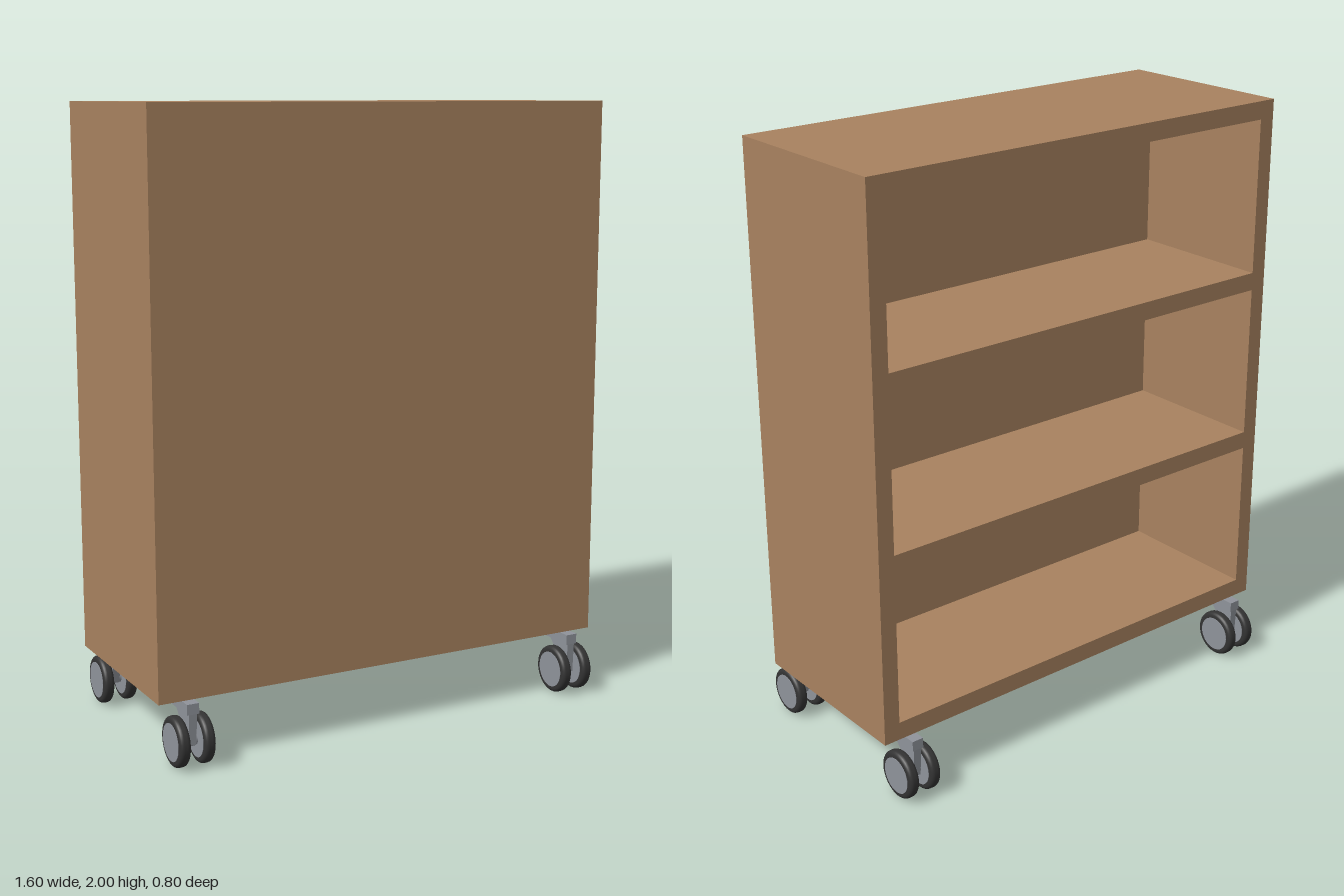
import * as THREE from 'three';

const wood = new THREE.MeshStandardMaterial({ color: 0xa8825f });
wood.name = 'wood';
const rubber = new THREE.MeshStandardMaterial({ color: 0x333333 });
rubber.name = 'rubber';
const metal = new THREE.MeshStandardMaterial({ color: 0x8f939a });
metal.name = 'metal';

function add(parent, name, geometry, material, x = 0, y = 0, z = 0) {
  const mesh = new THREE.Mesh(geometry, material);
  mesh.name = name;
  mesh.position.set(x, y, z);
  parent.add(mesh);
  return mesh;
}

function rectangle(path, x0, y0, x1, y1) {
  path.moveTo(x0, y0);
  path.lineTo(x1, y0);
  path.lineTo(x1, y1);
  path.lineTo(x0, y1);
  path.closePath();
  return path;
}

// Tyre with rounded shoulders, axis along x
function tyreGeometry() {
  const w = 0.018, r = 0.08, b = 0.013;
  const points = [new THREE.Vector2(0.02, -w), new THREE.Vector2(0.06, -w)];
  for (let i = 0; i <= 5; i++) {
    const a = -Math.PI / 2 + (i / 5) * Math.PI / 2;
    points.push(new THREE.Vector2(r - b + b * Math.cos(a), -w + b + b * Math.sin(a)));
  }
  for (let i = 0; i <= 5; i++) {
    const a = (i / 5) * Math.PI / 2;
    points.push(new THREE.Vector2(r - b + b * Math.cos(a), w - b + b * Math.sin(a)));
  }
  points.push(new THREE.Vector2(0.06, w), new THREE.Vector2(0.02, w));
  return new THREE.LatheGeometry(points, 32).rotateZ(-Math.PI / 2);
}

// Side profile in (z, y) pushed out along x
function sideExtrude(outline, width) {
  const shape = new THREE.Shape(outline.map(([z, y]) => new THREE.Vector2(-z, y)));
  return new THREE.ExtrudeGeometry(shape, { depth: width, bevelEnabled: false })
    .translate(0, 0, -width / 2).rotateY(Math.PI / 2);
}

// Twin-wheel caster; origin on the floor below the axle, plate reaching towards -z
function createCaster() {
  const caster = new THREE.Group();
  add(caster, 'mountingPlate', new THREE.BoxGeometry(0.04, 0.034, 0.166), metal, 0, 0.188, -0.045);
  add(caster, 'fork', sideExtrude(
    [[-0.07, 0.172], [0.035, 0.172], [0.03, 0.07], [0.01, 0.06], [-0.02, 0.065], [-0.04, 0.14]], 0.026), metal);
  add(caster, 'axle', new THREE.CylinderGeometry(0.02, 0.02, 0.06, 20).rotateZ(Math.PI / 2), metal, 0, 0.08, 0);
  const tyre = tyreGeometry();
  const hub = new THREE.CylinderGeometry(0.06, 0.06, 0.039, 32).rotateZ(Math.PI / 2);
  for (const side of [-1, 1]) {
    add(caster, 'tyre', tyre, rubber, side * 0.041, 0.08, 0);
    add(caster, 'hub', hub, metal, side * 0.041, 0.08, 0);
  }
  return caster;
}

export function createModel() {
  const model = new THREE.Group();
  model.name = 'rollingBookcase';

  // Case with three shelf bays open to the rear
  const bottom = 0.205, top = 2, board = 0.06, wall = 0.056;
  const openDepth = 0.514, depth = 0.64;
  const bay = (top - bottom - 4 * board) / 3;
  const frame = rectangle(new THREE.Shape(), -0.8, bottom, 0.8, top);
  for (let i = 0; i < 3; i++) {
    const y = bottom + board + i * (bay + board);
    frame.holes.push(rectangle(new THREE.Path(), -0.8 + wall, y, 0.8 - wall, y + bay));
  }
  add(model, 'shelfFrame', new THREE.ExtrudeGeometry(frame, { depth: openDepth, bevelEnabled: false }),
    wood, 0, 0, -depth / 2);

  // Closed front panel
  const panel = depth - openDepth;
  add(model, 'frontPanel', new THREE.BoxGeometry(1.6, top - bottom, panel),
    wood, 0, (top + bottom) / 2, depth / 2 - panel / 2);

  // Casters at the four corners
  for (const x of [-0.703, 0.703]) {
    for (const z of [-1, 1]) {
      const caster = createCaster();
      caster.name = (z > 0 ? 'front' : 'back') + (x > 0 ? 'Left' : 'Right') + 'Caster';
      caster.position.set(x, 0, z * 0.32);
      if (z < 0) caster.rotation.y = Math.PI;
      model.add(caster);
    }
  }
  return model;
}
